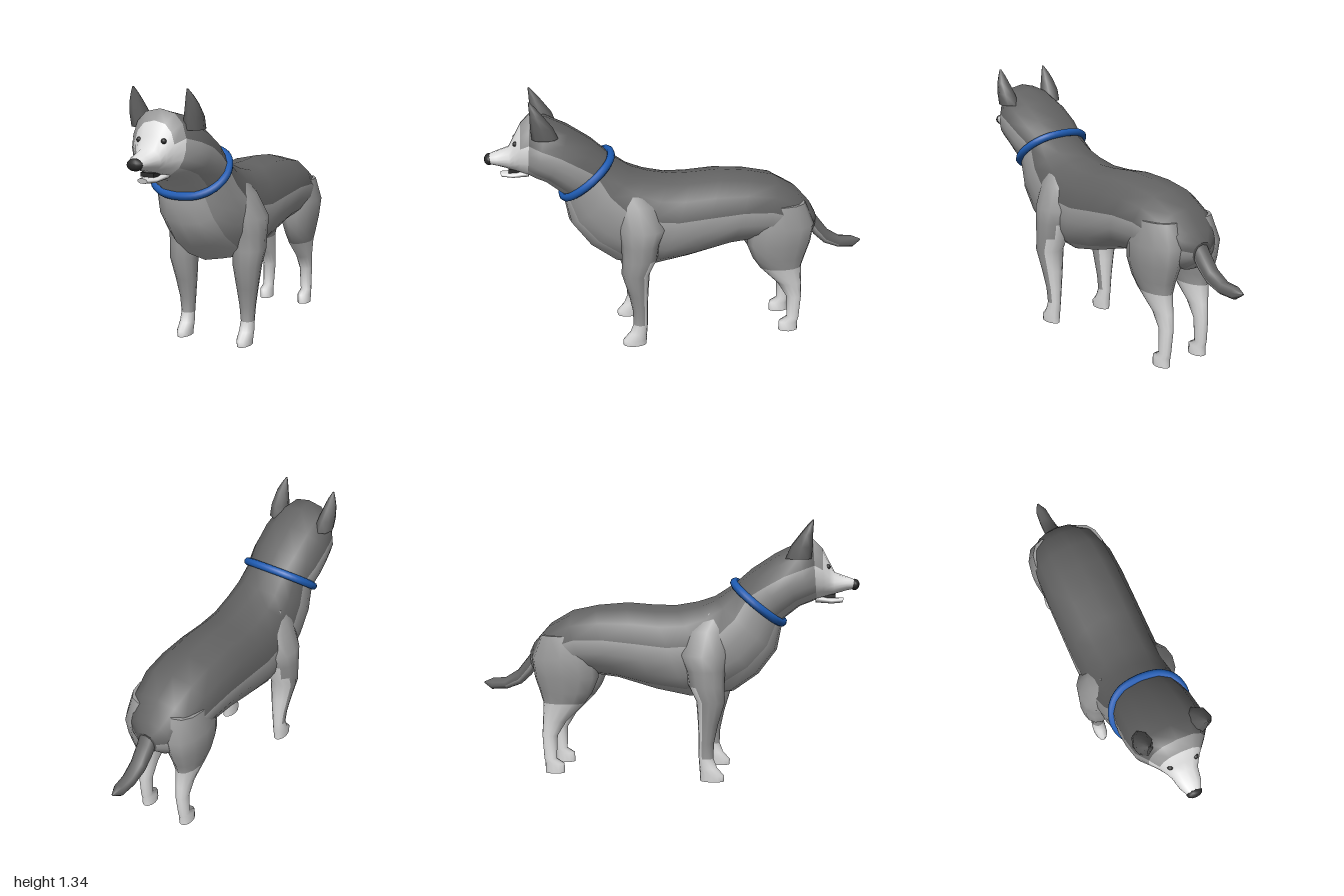
import * as THREE from 'three';

const mat = (name, color) => {
  const m = new THREE.MeshStandardMaterial({ color });
  m.name = name;
  return m;
};

// Skins a list of closed rings (arrays of Vector3), one geometry group per colour.
function loft(name, rings, materials, colourOf = () => 0) {
  const n = rings[0].length;
  const pos = [];
  const faces = materials.map(() => []);
  rings.flat().forEach((p) => pos.push(p.x, p.y, p.z));
  for (let i = 0; i < rings.length - 1; i++) {
    for (let j = 0; j < n; j++) {
      const a = i * n + j, b = i * n + (j + 1) % n;
      faces[colourOf(i, j)].push(a, b, a + n, b, b + n, a + n);
    }
  }
  // End caps have their own vertices so their edges stay sharp
  [0, rings.length - 1].forEach((r) => {
    const base = pos.length / 3;
    const mid = new THREE.Vector3();
    rings[r].forEach((p) => { mid.addScaledVector(p, 1 / n); pos.push(p.x, p.y, p.z); });
    pos.push(mid.x, mid.y, mid.z);
    const list = faces[colourOf(r ? r - 1 : 0, 0)];
    for (let j = 0; j < n; j++) {
      const a = base + j, b = base + (j + 1) % n;
      if (r === 0) list.push(base + n, b, a);
      else list.push(base + n, a, b);
    }
  });
  const g = new THREE.BufferGeometry();
  g.setAttribute('position', new THREE.Float32BufferAttribute(pos, 3));
  g.setIndex(faces.flat());
  let start = 0;
  faces.forEach((f, k) => { g.addGroup(start, f.length, k); start += f.length; });
  g.computeVertexNormals();
  const mesh = new THREE.Mesh(g, materials);
  mesh.name = name;
  return mesh;
}

// Upright ring: [top z, top y, bottom z, bottom y, half width, back edge angle, belly edge angle]
function trunkRing([tz, ty, bz, by, w, back = 80, belly = 135]) {
  const half = [];
  for (let k = 0; k < 3; k++) half.push(back * k / 3);
  for (let k = 0; k < 3; k++) half.push(back + (belly - back) * k / 3);
  half.push(belly, (belly + 180) / 2);
  const angles = [...half, 180, ...half.slice(1).reverse().map((a) => 360 - a)];
  return angles.map((deg) => {
    const a = THREE.MathUtils.degToRad(deg), c = Math.cos(a), s = Math.sin(a);
    return new THREE.Vector3(
      w * Math.sign(s) * Math.abs(s) ** 0.8,
      (ty + by) / 2 + c * (ty - by) / 2,
      (tz + bz) / 2 + c * (tz - bz) / 2);
  });
}
// Zone around a trunk ring: 0 back, 1 flank, 2 belly
const zone = (j) => { const k = j < 8 ? j : 15 - j; return k < 3 ? 0 : k < 6 ? 1 : 2; };

// Level ring: [y, x, z, x radius, z radius]
const limbRing = (side, n = 12) => ([y, x, z, rx, rz]) =>
  Array.from({ length: n }, (_, j) => {
    const a = j / n * Math.PI * 2;
    return new THREE.Vector3(side * x + rx * Math.sin(a), y, z + rz * Math.cos(a));
  });

export function createModel() {
  const dark = mat('dark coat', 0x626262);
  const grey = mat('grey coat', 0x9a9a9a);
  const light = mat('light chest', 0xb4b4b4);
  const white = mat('white fur', 0xdedede);
  const black = mat('black', 0x2c2c2c);
  const blue = mat('collar blue', 0x1e5cb3);
  const dog = new THREE.Group();
  dog.name = 'dog';
  const coat = [dark, grey, light, white];

  // Torso, from the collar back to the rump
  const torso = [
    [0.36, 1.01, 0.61, 0.81, 0.185, 68, 143],
    [0.26, 0.945, 0.585, 0.67, 0.2, 74, 136],
    [0.17, 0.915, 0.49, 0.54, 0.21, 78, 134],
    [0.06, 0.895, 0.36, 0.445, 0.215, 80, 134],
    [-0.05, 0.895, 0.15, 0.415, 0.22, 80, 138],
    [-0.2, 0.905, -0.03, 0.45, 0.22, 81, 143],
    [-0.36, 0.89, -0.24, 0.51, 0.22, 81, 148],
    [-0.5, 0.86, -0.4, 0.53, 0.215, 80, 152],
    [-0.62, 0.79, -0.56, 0.5, 0.19, 78, 155],
    [-0.7, 0.7, -0.67, 0.5, 0.13, 78, 155],
    [-0.73, 0.645, -0.715, 0.54, 0.06, 80, 155],
  ];
  dog.add(loft('torso', torso.map(trunkRing), coat, (i, j) => zone(j)));

  // Head, from the muzzle back to the collar
  const head = [
    [0.975, 1.04, 0.965, 0.99, 0.038],
    [0.94, 1.053, 0.93, 0.982, 0.055],
    [0.875, 1.075, 0.87, 0.963, 0.068],
    [0.845, 1.13, 0.845, 0.955, 0.085],
    [0.81, 1.195, 0.82, 0.945, 0.108],
    [0.76, 1.245, 0.785, 0.935, 0.145],
    [0.68, 1.225, 0.75, 0.92, 0.187, 81],
    [0.57, 1.17, 0.7, 0.9, 0.2, 78],
    [0.45, 1.09, 0.65, 0.86, 0.2, 74],
    [0.36, 1.01, 0.6, 0.82, 0.188, 68],
  ];
  dog.add(loft('head', head.map(trunkRing), coat, (i, j) => {
    if (i < 4) return 3;
    if (i === 4) return zone(j) === 0 ? 1 : 3;
    return zone(j);
  }));

  // Lower jaw and the dark mouth line above it
  dog.add(loft('lowerJaw', [
    [0.922, 0.945, 0.915, 0.92, 0.026],
    [0.86, 0.945, 0.86, 0.915, 0.045],
    [0.78, 0.965, 0.78, 0.92, 0.06],
  ].map(trunkRing), [white]));
  const mouth = new THREE.Mesh(new THREE.BoxGeometry(0.07, 0.02, 0.08), black);
  mouth.name = 'mouth';
  mouth.position.set(0, 0.955, 0.84);
  dog.add(mouth);

  const ball = (name, m, x, y, z, sx, sy, sz) => {
    const b = new THREE.Mesh(new THREE.SphereGeometry(1, 12, 8), m);
    b.name = name;
    b.position.set(x, y, z);
    b.scale.set(sx, sy, sz);
    dog.add(b);
  };
  ball('nose', black, 0, 1.014, 0.975, 0.041, 0.029, 0.025);

  // Collar follows the tilted neck outline
  const loop = trunkRing([0.36, 1.02, 0.613, 0.815, 0.193, 80, 135]);
  const collar = new THREE.Mesh(
    new THREE.TubeGeometry(new THREE.CatmullRomCurve3(loop, true), 48, 0.021, 8, true), blue);
  collar.name = 'collar';
  dog.add(collar);

  // Tail, dark above and grey under its root
  const tail = [
    [-0.67, 0.715, -0.69, 0.57, 0.048, 100],
    [-0.75, 0.605, -0.735, 0.505, 0.046, 100],
    [-0.81, 0.53, -0.79, 0.455, 0.042, 105],
    [-0.88, 0.487, -0.87, 0.425, 0.037, 110],
    [-0.95, 0.482, -0.955, 0.42, 0.03, 115],
    [-1, 0.46, -1, 0.452, 0.005, 115],
  ];
  dog.add(loft('tail', tail.map(trunkRing), coat, (i, j) => (i < 3 && zone(j) ? 1 : 0)));

  // Limb sections run from the ground up
  const frontLeg = [
    [0, 0.177, 0.267, 0.034, 0.062],
    [0.03, 0.177, 0.267, 0.037, 0.063],
    [0.07, 0.177, 0.247, 0.037, 0.046],
    [0.12, 0.177, 0.235, 0.035, 0.038],
    [0.2, 0.177, 0.236, 0.043, 0.04],
    [0.3, 0.18, 0.245, 0.058, 0.052],
    [0.42, 0.186, 0.258, 0.075, 0.074],
    [0.5, 0.185, 0.235, 0.085, 0.092],
    [0.58, 0.18, 0.23, 0.091, 0.1],
    [0.66, 0.172, 0.22, 0.098, 0.125],
    [0.78, 0.14, 0.24, 0.075, 0.11],
    [0.87, 0.11, 0.28, 0.05, 0.07],
  ];
  const hindLeg = [
    [0, 0.122, -0.58, 0.034, 0.053],
    [0.05, 0.122, -0.581, 0.035, 0.052],
    [0.075, 0.122, -0.605, 0.03, 0.034],
    [0.2, 0.118, -0.607, 0.034, 0.042],
    [0.28, 0.118, -0.58, 0.041, 0.064],
    [0.38, 0.122, -0.527, 0.06, 0.112],
    [0.44, 0.124, -0.515, 0.073, 0.142],
    [0.52, 0.122, -0.512, 0.09, 0.172],
    [0.62, 0.118, -0.522, 0.104, 0.178],
    [0.74, 0.105, -0.52, 0.09, 0.13],
  ];
  const ear = [
    [1.15, 0.14, 0.69, 0.05, 0.065],
    [1.21, 0.147, 0.705, 0.046, 0.055],
    [1.27, 0.15, 0.728, 0.034, 0.032],
    [1.31, 0.148, 0.745, 0.019, 0.017],
    [1.34, 0.146, 0.76, 0.004, 0.004],
  ];
  for (const side of [1, -1]) {
    const label = side > 0 ? 'left' : 'right';
    // White paw and a white streak tapering up the back of the leg
    dog.add(loft(`${label}FrontLeg`, frontLeg.map(limbRing(side)), [grey, white], (i, j) => {
      const streak = i < 7 ? j >= 4 && j <= 7 : i === 7 && (j === 5 || j === 6);
      return i < 3 || streak ? 1 : 0;
    }));
    dog.add(loft(`${label}HindLeg`, hindLeg.map(limbRing(side)), [grey, white],
      (i) => (i < 5 ? 1 : 0)));
    dog.add(loft(`${label}Ear`, ear.map(limbRing(side, 8)), [dark]));
    ball(`${label}Eye`, black, side * 0.066, 1.107, 0.838, 0.014, 0.013, 0.014);
  }
  return dog;
}
